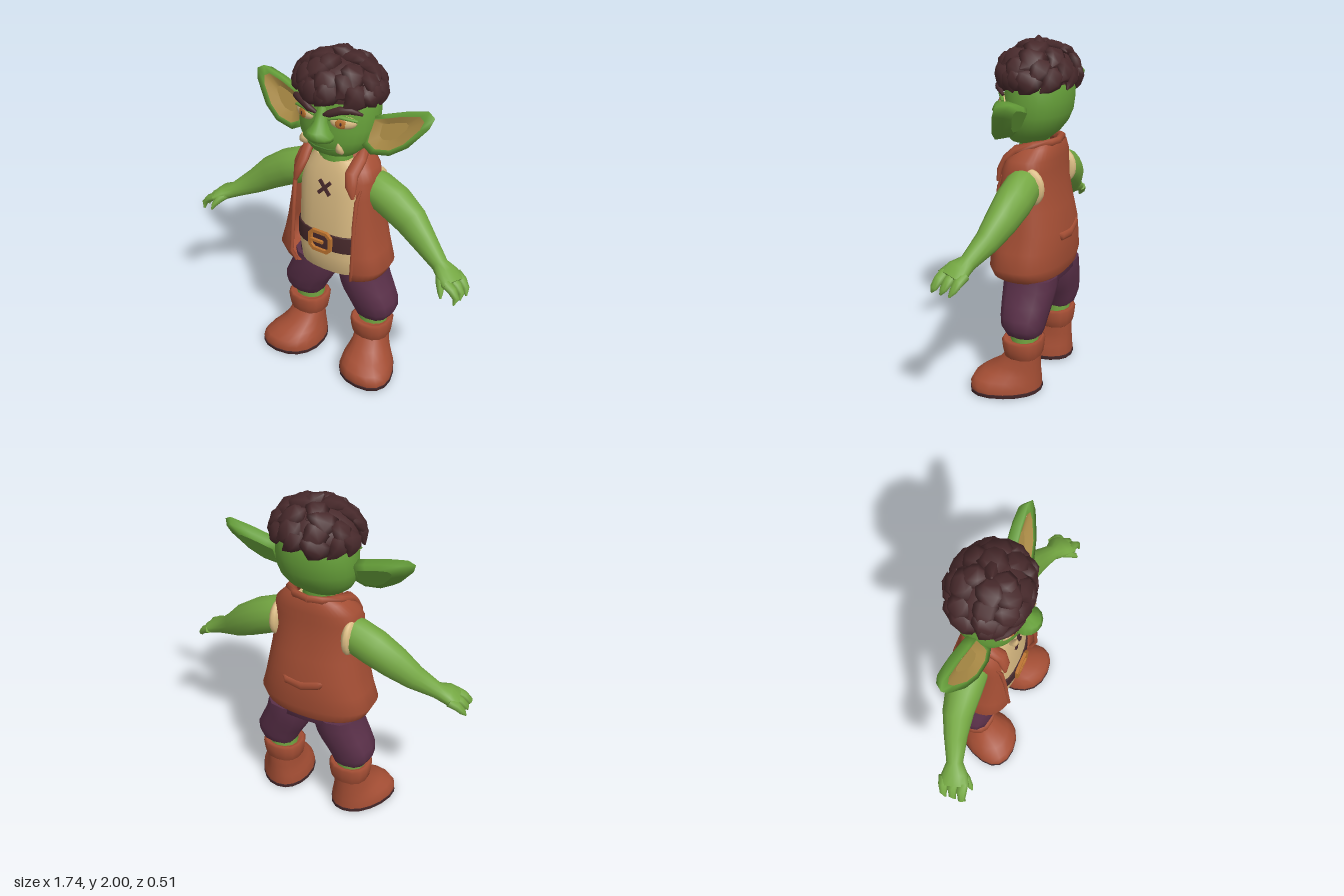
import * as THREE from 'three';

const mat = (name, color, side = THREE.FrontSide) => {
  const m = new THREE.MeshStandardMaterial({ color, side });
  m.name = name;
  return m;
};
const M = {
  face: mat('face green', 0x659e39),
  limb: mat('limb green', 0x74a742),
  rust: mat('rust leather', 0xa44e34, THREE.DoubleSide),
  tan: mat('tan cloth', 0xd8b981),
  plum: mat('plum cloth', 0x5a3049),
  dark: mat('dark brown', 0x47292b),
  brass: mat('brass', 0xbd7430),
  ear: mat('inner ear', 0xa78844),
  mouth: mat('mouth line', 0x4b7c2e),
};

// Skins a list of rings; each ring runs counterclockwise about the direction of progress
function skin(rings, { closed = true, start = true, end = true } = {}) {
  const n = rings[0].length, pos = rings.flat(), idx = [];
  for (let i = 0; i < rings.length - 1; i++)
    for (let j = 0; j < (closed ? n : n - 1); j++) {
      const a = i * n + j, b = i * n + (j + 1) % n;
      idx.push(a, b, a + n, b, b + n, a + n);
    }
  const cap = (ring, flip) => {
    const o = pos.length, c = ring.reduce((s, p) => s.map((v, k) => v + p[k] / n), [0, 0, 0]);
    pos.push(...ring, c);
    for (let j = 0; j < n; j++) {
      const a = o + j, b = o + (j + 1) % n;
      idx.push(o + n, flip ? b : a, flip ? a : b);
    }
  };
  if (closed && start) cap(rings[0], true);
  if (closed && end) cap(rings[rings.length - 1], false);
  const g = new THREE.BufferGeometry();
  g.setAttribute('position', new THREE.Float32BufferAttribute(pos.flat(), 3));
  g.setIndex(idx);
  g.computeVertexNormals();
  return g;
}

// Horizontal superellipse sections, front and back powers: [y, centreX, halfWidth, zFront, zBack, opening]
function loft(rows, p = 2.3, n = 20, back = p) {
  const open = rows[0].length > 5;
  const pw = (v, q) => Math.sign(v) * Math.abs(v) ** (2 / q);
  return skin(rows.map(([y, cx, w, zf, zb, gap = 0]) => {
    const t0 = gap ? Math.asin((gap / w) ** (p / 2)) : 0;
    return Array.from({ length: n }, (_, i) => {
      const t = t0 + (i / (open ? n - 1 : n)) * (2 * Math.PI - 2 * t0), q = Math.cos(t) > 0 ? p : back;
      return [cx + w * pw(Math.sin(t), q), y, (zf + zb) / 2 + ((zf - zb) / 2) * pw(Math.cos(t), q)];
    });
  }), { closed: !open });
}

// Elliptical sections along a path: [x, y, z, radiusAcross, radiusAlongUp]
function sweep(pts, up = [0, 0, 1], n = 10) {
  const P = pts.map((p) => new THREE.Vector3(p[0], p[1], p[2])), U = new THREE.Vector3(...up);
  return skin(pts.map((p, i) => {
    const t = P[Math.min(i + 1, P.length - 1)].clone().sub(P[Math.max(i - 1, 0)]).normalize();
    const a = U.clone().cross(t).normalize(), b = t.clone().cross(a);
    return Array.from({ length: n }, (_, j) => {
      const q = (j / n) * Math.PI * 2;
      return P[i].clone().addScaledVector(a, p[3] * Math.cos(q)).addScaledVector(b, p[4] * Math.sin(q)).toArray();
    });
  }));
}

function mirror(g) {
  const m = g.clone().scale(-1, 1, 1), ix = m.index.array;
  for (let i = 0; i < ix.length; i += 3) [ix[i + 1], ix[i + 2]] = [ix[i + 2], ix[i + 1]];
  return m;
}

const ball = (x, y, z, rx, ry, rz, turn = 0) =>
  new THREE.SphereGeometry(1, 16, 10).scale(rx, ry, rz).rotateY(turn).translate(x, y, z);

// Adds a rectangle with clipped corners to a shape or hole
const clipped = (path, w, h, c) => path.setFromPoints([[-w + c, -h], [w - c, -h], [w, -h + c], [w, h - c], [w - c, h], [-w + c, h], [-w, h - c], [-w, -h + c]]
  .map(([x, y]) => new THREE.Vector2(x, y)));

export function createModel() {
  const root = new THREE.Group();
  root.name = 'goblin';
  const add = (name, g, m) => {
    const mesh = new THREE.Mesh(g, m);
    mesh.name = name;
    root.add(mesh);
  };
  const pair = (name, g, m) => {
    add(name + 'Left', g, m);
    add(name + 'Right', mirror(g), m);
  };

  // Head, neck and nose
  add('head', loft([[1.42, 0, .08, .09, -.03], [1.44, 0, .135, .125, -.08], [1.485, 0, .185, .15, -.135], [1.54, 0, .215, .158, -.178],
    [1.6, 0, .228, .155, -.203], [1.67, 0, .23, .148, -.212], [1.75, 0, .222, .14, -.21], [1.84, 0, .195, .11, -.18], [1.9, 0, .11, .05, -.11]], 2.15, 28), M.face);
  add('neck', loft([[1.32, 0, .09, .075, -.08], [1.39, 0, .1, .085, -.08], [1.47, 0, .08, .06, -.08]]), M.face);
  add('nose', loft([[1.53, 0, .03, .18, .1], [1.55, 0, .076, .22, .1], [1.58, 0, .086, .25, .1], [1.61, 0, .056, .24, .1],
    [1.65, 0, .036, .195, .1], [1.7, 0, .032, .17, .1], [1.74, 0, .022, .15, .1]], 2, 14), M.face);
  add('mouth', sweep([[-.1, 1.497, .131, .003, .005], [-.04, 1.49, .151, .004, .006], [.04, 1.49, .151, .004, .006],
    [.1, 1.497, .131, .003, .005]], [0, 0, 1], 6), M.mouth);

  // Eyes, brows and tusks
  pair('eye', ball(.118, 1.658, .118, .072, .038, .034, .38), M.tan);
  pair('iris', ball(.12, 1.66, .146, .032, .027, .008, .38), M.brass);
  pair('pupil', ball(.121, 1.661, .151, .007, .012, .005, .38), M.dark);
  pair('upperLid', sweep([[.045, 1.672, .15, .008, .01], [.115, 1.698, .145, .011, .014], [.19, 1.674, .1, .007, .01]]), M.face);
  pair('brow', sweep([[.025, 1.695, .16, .008, .01], [.06, 1.712, .168, .02, .016], [.12, 1.74, .155, .023, .02],
    [.17, 1.742, .13, .018, .018], [.212, 1.712, .085, .006, .008]]), M.dark);
  pair('tusk', sweep([[.115, 1.485, .13, .013, .012], [.115, 1.508, .153, .021, .018], [.114, 1.53, .16, .016, .014],
    [.112, 1.552, .163, .003, .003]]), M.tan);

  // Ears: a rim with a domed back and a hollowed front
  const outline = [[.19, 1.52], [.25, 1.49], [.36, 1.51], [.45, 1.57], [.54, 1.68], [.558, 1.735], [.52, 1.757], [.4, 1.73], [.28, 1.69], [.19, 1.66]];
  const earRing = (k, dz) => outline.map(([x, y]) =>
    [.32 + (x - .32) * k, 1.61 + (y - 1.61) * k, .065 - (1.61 + (y - 1.61) * k - 1.5) * .45 + dz]);
  pair('ear', skin([earRing(.55, -.075), earRing(.86, -.05), earRing(1, 0), earRing(.76, -.004)], { end: false }), M.face);
  pair('innerEar', skin([earRing(.77, -.003), earRing(.4, -.025)], { start: false }), M.ear);

  // Hair: a cap covered in uneven locks swept round the crown
  let seed = 7;
  const rand = () => (seed = (seed * 16807) % 2147483647) / 2147483647;
  add('hairCap', new THREE.SphereGeometry(1, 20, 8, 0, Math.PI * 2, 0, Math.PI * .53).scale(.23, .17, .2)
    .translate(0, 1.785, -.028), M.dark);
  const shell = (t, a, k) => [.235 * Math.sin(t) * Math.sin(a) * k, 1.785 + .17 * Math.cos(t) * k, -.03 + .197 * Math.sin(t) * Math.cos(a) * k];
  const lock = (t, a, turn, size) => {
    const p = (dt, k, da, ra, rb) => [...shell(t + dt, a + da * turn, k), ra * size, rb];
    const up = new THREE.Vector3(...shell(t, a, 1)).sub(new THREE.Vector3(0, 1.785, -.03)).normalize().toArray();
    add('hairLock', sweep([p(-.3, .97, 0, .025, .012), p(-.12, 1.02, .06, .062, .028), p(.08, 1.04, .16, .06, .03),
      p(.25, 1.05, .28, .036, .02), p(.38, 1.06 + .06 * rand(), .42, .004, .004)], up, 6), M.dark);
  };
  [[.38, 4], [.75, 6], [1.1, 9], [1.4, 12]].forEach(([t, count], row) => {
    for (let i = 0; i < count; i++) {
      const a = ((i + row * .5 + rand() * .5) / count) * Math.PI * 2;
      const hairline = row === 3 ? .06 - .13 * Math.max(0, Math.cos(a)) : 0;
      lock(t + hairline + (rand() - .5) * .14, a, -.5 - rand() * .7, .9 + rand() * .45);
    }
  });
  lock(1.46, .12, -.5, .8);
  lock(1.38, -.5, .4, 1);
  lock(1.45, 1.2, .4, 1.05);
  add('hairPeak', sweep([[.03, 1.93, -.04, .06, .04], [0, 1.965, -.03, .045, .03], [-.03, 1.992, -.01, .006, .006]], [0, 0, 1], 7), M.dark);

  // Shirt, stitch, belt and buckle
  add('shirt', loft([[.665, 0, .18, .11, -.12], [.69, 0, .212, .14, -.16], [.8, 0, .225, .15, -.175], [1, 0, .218, .146, -.17],
    [1.2, 0, .212, .128, -.145], [1.32, 0, .19, .105, -.14], [1.39, 0, .125, .078, -.12]], 2.6, 24), M.tan);
  add('belt', loft([[.842, 0, .228, .154, -.18], [.847, 0, .232, .159, -.182], [.944, 0, .23, .157, -.182], [.949, 0, .226, .152, -.18]], 2.6, 24), M.dark);
  const frame = clipped(new THREE.Shape(), .076, .07, .028);
  frame.holes.push(clipped(new THREE.Path(), .056, .05, .018));
  add('buckle', new THREE.ExtrudeGeometry(frame, { depth: .018, bevelEnabled: false }).translate(-.007, .895, .154), M.brass);
  add('buckleProng', new THREE.BoxGeometry(.085, .016, .016).translate(-.03, .893, .166), M.brass);
  for (const s of [-1, 1])
    add('stitch', new THREE.BoxGeometry(.104, .02, .009).rotateZ(s * .82).rotateX(-.18).translate(0, 1.23, .126 + s * .001), M.dark);

  // Open vest with slivers of shirt at the armholes, rolled collar and a fold at the back
  add('vest', loft([[.672, 0, .25, .13, -.16, .17], [.675, 0, .28, .15, -.19, .18], [.7, 0, .315, .17, -.21, .19], [.76, 0, .345, .186, -.222, .205],
    [.86, 0, .315, .18, -.224, .203], [.96, 0, .293, .172, -.22, .2], [1.08, 0, .272, .16, -.195, .2], [1.2, 0, .257, .147, -.172, .2],
    [1.3, 0, .256, .127, -.165, .185], [1.36, 0, .238, .098, -.165, .16], [1.42, 0, .182, .045, -.16, .125], [1.45, 0, .12, 0, -.14, .09]], 3.2, 34, 2.3), M.rust);
  pair('vestEdge', sweep([[.187, .69, .145, .008, .012], [.205, .76, .168, .011, .012], [.203, .9, .153, .011, .012], [.2, 1.05, .14, .011, .012],
    [.202, 1.2, .118, .012, .014], [.215, 1.27, .095, .005, .006]]), M.rust);
  pair('armhole', ball(.222, 1.225, -.06, .04, .112, .1), M.tan);
  pair('collar', sweep([[0, 1.435, -.14, .024, .02], [.08, 1.44, -.128, .026, .022], [.145, 1.435, -.06, .03, .024], [.165, 1.41, .03, .036, .024],
    [.158, 1.35, .1, .038, .02], [.172, 1.29, .128, .032, .017], [.187, 1.225, .135, .01, .008]], [.3, .4, 1]), M.rust);
  add('vestFold', sweep([[-.14, .965, -.19, .006, .006], [-.1, .945, -.205, .026, .02], [0, .915, -.215, .03, .018], [.1, .925, -.205, .028, .022],
    [.14, .955, -.19, .006, .006]]), M.rust);

  // Arms and hands
  pair('arm', sweep([[.17, 1.25, -.045, .085, .08], [.24, 1.225, -.04, .105, .1], [.35, 1.175, -.035, .108, .1], [.465, 1.105, -.02, .098, .085],
    [.57, 1.025, .01, .074, .065], [.69, .95, .055, .046, .046], [.75, .928, .08, .044, .075], [.8, .9, .1, .03, .085]], [0, 0, 1], 14), M.limb);
  for (const [i, z] of [.03, .085, .14].entries())
    pair('finger', sweep([[.775, .915, z, .025, .032], [.82, .893, z + .012, .023, .029], [.85, .86, z + .024, .018, .022],
      [.864 - i * .01, .828, z + .042, .005, .006]], [0, 0, 1], 8), M.limb);
  pair('thumb', sweep([[.71, .94, .09, .025, .028], [.745, .912, .15, .024, .024], [.765, .88, .182, .016, .016], [.775, .85, .196, .005, .005]],
    [0, 1, .3], 8), M.limb);

  // Breeches
  add('hips', loft([[.632, 0, .17, .07, -.16], [.66, 0, .255, .098, -.2], [.74, 0, .26, .1, -.2]], 2.8), M.plum);
  pair('breeches', loft([[.358, .232, .09, .035, -.135], [.372, .237, .105, .055, -.152], [.42, .24, .13, .075, -.165], [.48, .22, .146, .085, -.175],
    [.55, .184, .15, .095, -.188], [.63, .155, .14, .102, -.2], [.69, .142, .14, .1, -.2]], 2.5, 12), M.plum);

  // Lower legs and boots, with toes turned out
  const foot = (rows) => {
    const g = loft(rows, 2.2, 18), p = g.attributes.position;
    for (let i = 0; i < p.count; i++) {
      const k = THREE.MathUtils.clamp((.2 - p.getY(i)) / .12, 0, 1), z = p.getZ(i), x = p.getX(i);
      p.setX(i, .25 + (x - .25) * (1 + k * .9 * (z - .05)) + k * .16 * (z - .05));
    }
    g.computeVertexNormals();
    return g;
  };
  pair('shin', loft([[.2, .228, .085, .035, -.12], [.375, .228, .093, .037, -.125]], 2, 12), M.limb);
  pair('bootCuff', loft([[.218, .226, .098, .06, -.13], [.228, .226, .112, .07, -.14], [.27, .226, .12, .078, -.147], [.322, .226, .126, .082, -.152],
    [.334, .226, .112, .07, -.14], [.326, .226, .09, .045, -.125]], 2.4, 14), M.rust);
  pair('boot', foot([[.022, .26, .164, .246, -.14], [.055, .26, .163, .25, -.14], [.09, .256, .15, .235, -.138], [.125, .248, .13, .185, -.136],
    [.165, .238, .11, .115, -.134], [.23, .23, .098, .062, -.132]]), M.rust);
  pair('sole', foot([[0, .26, .158, .24, -.138], [.006, .26, .167, .25, -.144], [.026, .26, .167, .251, -.144]]), M.dark);

  return root;
}
